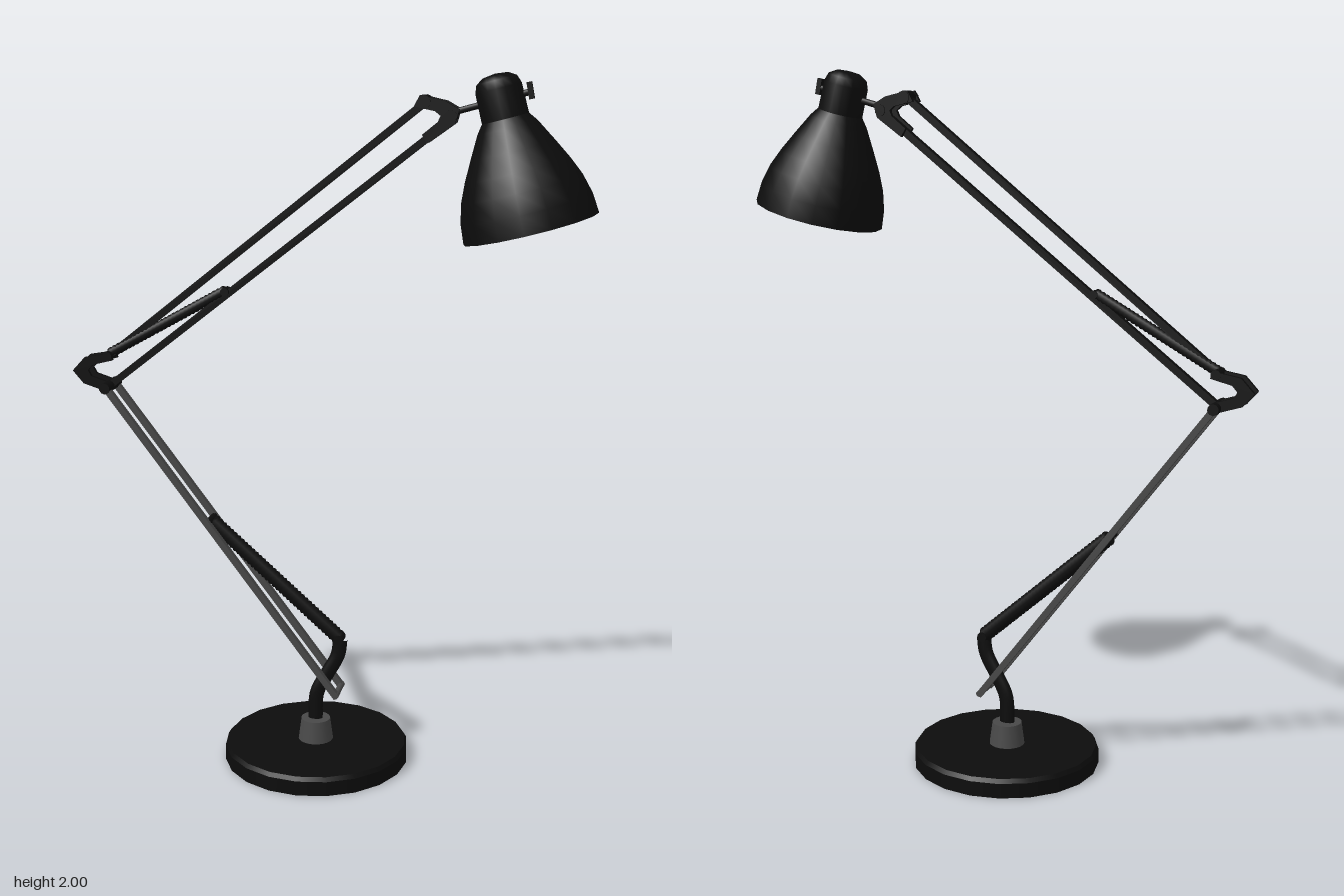
import * as THREE from 'three';

const black = new THREE.MeshStandardMaterial({ color: 0x0c0c0c });
const shell = new THREE.MeshStandardMaterial({ color: 0x0c0c0c, side: THREE.DoubleSide });
const steel = new THREE.MeshStandardMaterial({ color: 0x484848 });
const V = (x, y, z = 0) => new THREE.Vector3(x, y, z);
const UP = V(0, 1);

export function createModel() {
  const model = new THREE.Group();

  const add = (name, geometry, material = black, parent = model) => {
    const mesh = new THREE.Mesh(geometry, material);
    mesh.name = name;
    parent.add(mesh);
    return mesh;
  };

  // Lay a y-aligned, centred geometry between two points
  const span = (name, geometry, a, b, material) => {
    const mesh = add(name, geometry, material);
    mesh.position.copy(a).add(b).multiplyScalar(0.5);
    mesh.quaternion.setFromUnitVectors(UP, b.clone().sub(a).normalize());
    return mesh;
  };
  const bar = (name, a, b, t, material) =>
    span(name, new THREE.BoxGeometry(t, a.distanceTo(b), t), a, b, material);
  const rod = (name, a, b, r, material) =>
    span(name, new THREE.CylinderGeometry(r, r, a.distanceTo(b), 10), a, b, material);
  const pin = (name, x, y, half, r, material) =>
    rod(name, V(x, y, -half), V(x, y, half), r, material);

  // Tension spring: a tight row of ridges with tapered ends
  const spring = (name, a, b, r) => {
    const length = a.distanceTo(b), coils = Math.round(length / 0.014);
    const pts = [new THREE.Vector2(0, -length / 2)];
    for (let i = 0; i <= coils * 2; i++) {
      pts.push(new THREE.Vector2(r * (i % 2 ? 1 : 0.85), (i / (coils * 2) - 0.5) * length));
    }
    pts.push(new THREE.Vector2(0, length / 2));
    span(name, new THREE.LatheGeometry(pts, 10), a, b);
  };

  // Pair of flat plates cut from one outline, either side of the arm
  const plates = (name, outline) => {
    const shape = new THREE.Shape(outline.map(([x, y]) => new THREE.Vector2(x, y)));
    const geometry = new THREE.ExtrudeGeometry(shape, { depth: 0.012, bevelEnabled: false });
    for (const z of [-0.022, 0.022]) add(name, geometry).position.z = z - 0.006;
  };

  // Base and collar
  const base = add('base', new THREE.CylinderGeometry(0.265, 0.272, 0.012, 20));
  base.position.set(-0.03, 0.049, 0);
  add('baseSide', new THREE.CylinderGeometry(0.272, 0.272, 0.043, 20)).position.set(-0.03, 0.0215, 0);
  add('collar', new THREE.CylinderGeometry(0.043, 0.052, 0.068, 20), steel).position.set(-0.032, 0.086, 0);

  // Bent stem, flattened sideways
  const stemPath = new THREE.CatmullRomCurve3([
    V(-0.033, 0.11), V(-0.028, 0.2), V(0.004, 0.265), V(0.035, 0.325), V(0.042, 0.375)]);
  add('stem', new THREE.TubeGeometry(stemPath, 20, 0.022, 10)).scale.z = 0.6;
  pin('stemPin', 0.04, 0.378, 0.022, 0.014);

  // Lower arm: two steel bars joined by pins
  for (const z of [-0.04, 0.04]) {
    bar('lowerArm', V(0.04, 0.207, z), V(-0.642, 1.108, z), 0.018, steel);
  }
  pin('lowerArmPin', 0.037, 0.213, 0.05, 0.009, steel);
  pin('elbowLowerPin', -0.642, 1.108, 0.055, 0.016);
  pin('springPin', -0.345, 0.718, 0.034, 0.01);
  spring('lowerSpring', V(0.04, 0.378), V(-0.342, 0.715), 0.023);

  // Elbow bracket
  plates('elbowBracket', [
    [-0.63, 1.207], [-0.709, 1.193], [-0.746, 1.153], [-0.714, 1.116], [-0.64, 1.093],
    [-0.632, 1.12], [-0.69, 1.138], [-0.7, 1.155], [-0.685, 1.172], [-0.625, 1.187]]);
  pin('elbowUpperPin', -0.64, 1.198, 0.03, 0.014);

  // Upper arm: two parallel bars and a spring
  bar('upperArmTop', V(-0.64, 1.198), V(0.27, 1.922), 0.02);
  bar('upperArmBottom', V(-0.642, 1.108), V(0.325, 1.865), 0.02);
  spring('upperSpring', V(-0.64, 1.203), V(-0.29, 1.398), 0.016);
  pin('upperSpringPin', -0.29, 1.395, 0.018, 0.012);

  // Head bracket
  plates('headBracket', [
    [0.243, 1.912], [0.259, 1.942], [0.328, 1.926], [0.365, 1.905], [0.354, 1.868], [0.28, 1.815],
    [0.266, 1.838], [0.308, 1.872], [0.315, 1.888], [0.3, 1.9]]);
  pin('headPin', 0.27, 1.924, 0.032, 0.018);
  pin('headPin', 0.343, 1.888, 0.032, 0.016);

  // Pivot rod through the shade neck, with its wing knob
  rod('pivotRod', V(0.34, 1.895), V(0.55, 1.952), 0.009);
  const knob = add('knob', new THREE.BoxGeometry(0.014, 0.045, 0.018));
  knob.position.set(0.549, 1.955, 0);
  knob.rotation.z = 0.2;

  // Tilted head: bell shade, neck cap, socket and bulb
  const head = new THREE.Group();
  head.name = 'head';
  head.position.set(0.56, 1.592, 0);
  head.rotation.z = 0.255;
  model.add(head);
  const lathe = (name, points, segments, material) => add(name,
    new THREE.LatheGeometry(points.map(([r, y]) => new THREE.Vector2(r, y)), segments), material, head);
  lathe('shade', [[0.186, 0], [0.181, 0.055], [0.166, 0.11], [0.144, 0.16],
    [0.115, 0.215], [0.082, 0.275], [0.062, 0.302]], 16, shell);
  lathe('neckCap', [[0.064, 0.295], [0.063, 0.38], [0.055, 0.402], [0.034, 0.415], [0, 0.419]], 16, shell);
  lathe('socket', [[0, 0.16], [0.035, 0.16], [0.035, 0.3], [0, 0.3]], 12, shell);
  add('bulb', new THREE.SphereGeometry(0.075, 16, 12), black, head).position.y = 0.105;

  return model;
}
